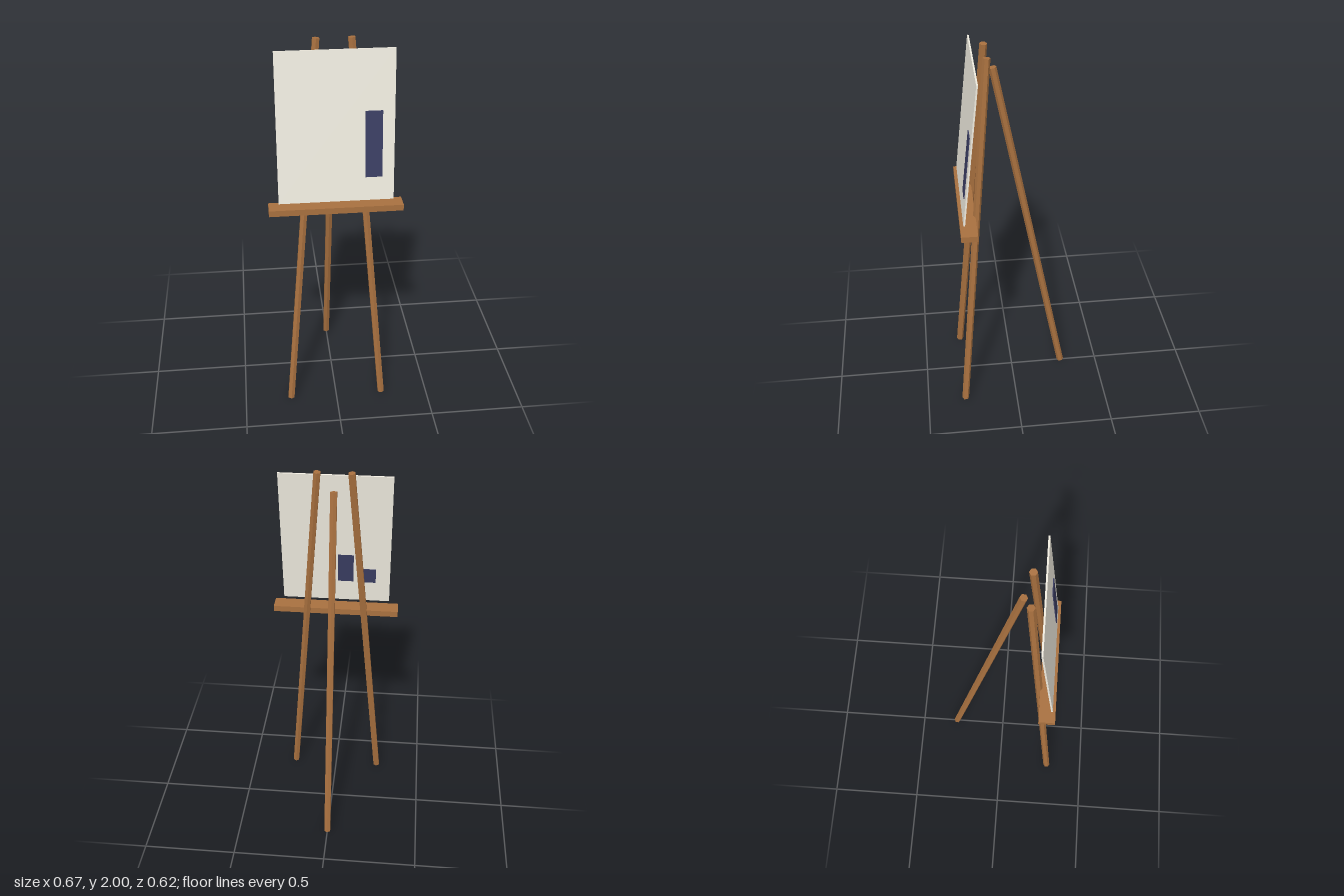
import * as THREE from 'three';

const material = (color) => new THREE.MeshStandardMaterial({ color, flatShading: true });

export function createModel() {
  const easel = new THREE.Group();
  easel.name = 'easel';
  const wood = material(0xa8703f);
  const canvasWhite = material(0xf0ece0);
  const barBlue = material(0x3a3d62);

  const add = (name, geometry, mat, x, y, z, tilt = 0) => {
    const mesh = new THREE.Mesh(geometry, mat);
    mesh.name = name;
    mesh.position.set(x, y, z);
    mesh.rotation.x = tilt;
    easel.add(mesh);
    return mesh;
  };

  // Hexagonal pole between two points
  const addLeg = (name, foot, top) => {
    const a = new THREE.Vector3(...foot);
    const b = new THREE.Vector3(...top);
    const axis = b.clone().sub(a);
    const mid = a.clone().add(b).multiplyScalar(0.5);
    const leg = add(name, new THREE.CylinderGeometry(0.019, 0.019, axis.length(), 6), wood, mid.x, mid.y, mid.z);
    leg.quaternion.setFromUnitVectors(new THREE.Vector3(0, 1, 0), axis.normalize());
  };

  // Three legs
  for (const [side, name] of [[1, 'frontLegLeft'], [-1, 'frontLegRight']]) {
    addLeg(name, [side * 0.25, 0.003, 0.291], [side * 0.083, 1.998, 0.124]);
  }
  addLeg('backLeg', [0, 0.004, -0.291], [0, 1.914, 0.09]);

  // Ledge that carries the board
  add('ledge', new THREE.BoxGeometry(0.666, 0.032, 0.083), wood, 0, 1.17, 0.241);

  // Board leaning back
  const lean = -0.107;
  add('board', new THREE.BoxGeometry(0.566, 0.75, 0.0083), canvasWhite, 0, 1.5875, 0.223, lean);

  // Row of bars of rising height, set into the board at one depth
  for (let i = 0; i < 4; i++) {
    const height = 0.0833 * (i + 1);
    add(`chartBar${i + 1}`, new THREE.BoxGeometry(0.083, height, 0.0042), barBlue,
      -0.167 + i * 0.1167, 1.335 + height / 2, 0.2386, lean);
  }

  return easel;
}
